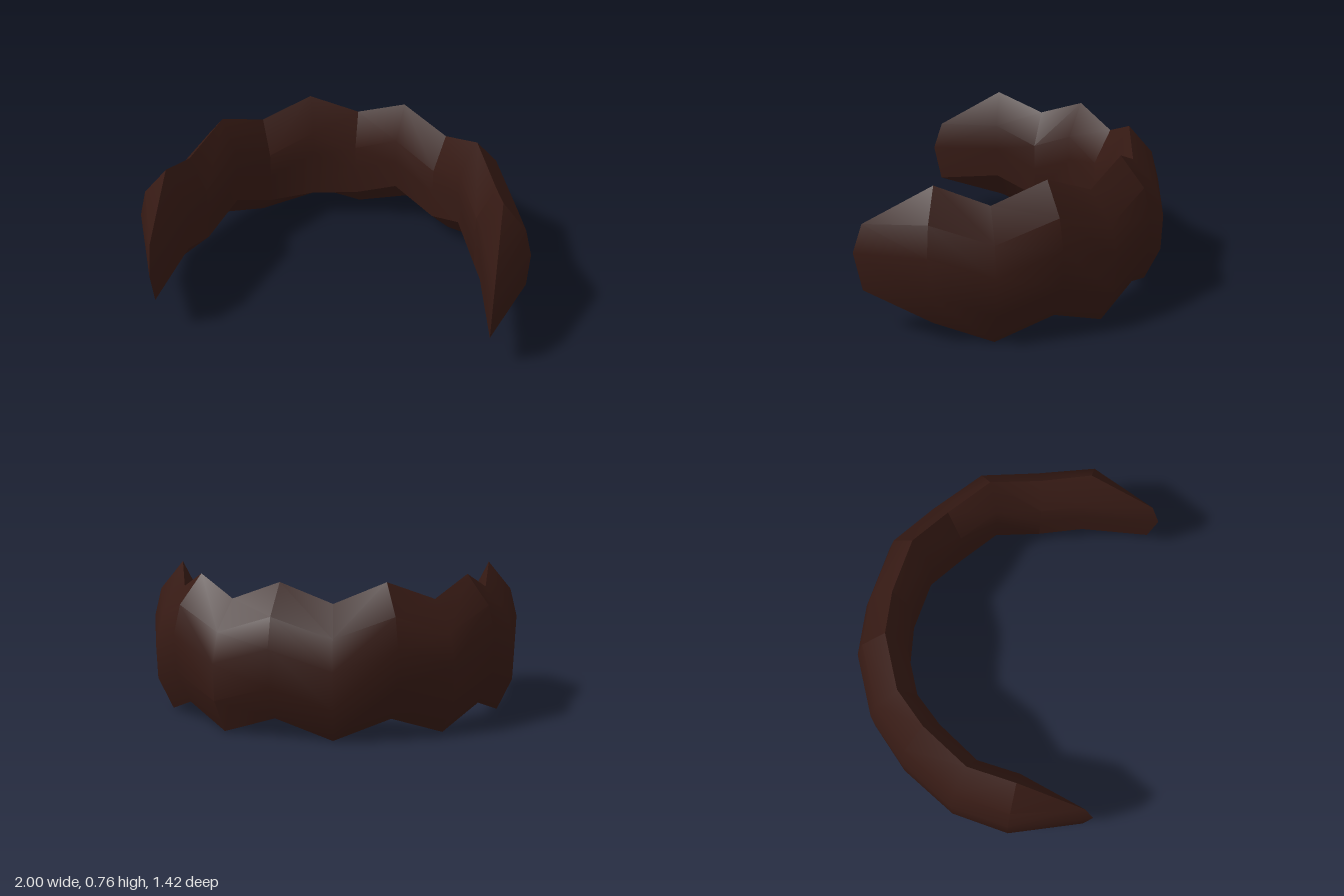
import * as THREE from 'three';
import { toCreasedNormals } from 'three/addons/utils/BufferGeometryUtils.js';

// Half of the horseshoe, from the middle of the back to the last full section:
// outer x, outer z, inner x, inner z
const STATIONS = [
  [0, -0.71, 0, -0.45],
  [0.31, -0.66, 0.23, -0.41],
  [0.59, -0.52, 0.45, -0.30],
  [0.81, -0.29, 0.60, -0.14],
  [0.95, 0.0, 0.71, 0.08],
  [1.0, 0.31, 0.75, 0.31],
];

// Cross-section: fraction from outer to inner wall, height, and pointed tip (height, z)
const SECTION = [
  [0.64, 0.66, 0.55, 0.66], // top ridge
  [0.15, 0.51, 0.55, 0.66],
  [0.0, 0.36, 0.40, 0.71],
  [0.03, 0.17, 0.21, 0.67],
  [0.34, 0.0, 0.21, 0.67], // bottom ridge
  [0.96, 0.17, 0.21, 0.67],
  [1.0, 0.34, 0.40, 0.71],
  [1.0, 0.48, 0.55, 0.66],
];

// One ring of points; every other ring is raised to make the zigzag edges
function ring(k) {
  const side = Math.sign(k);
  const s = Math.abs(k);
  if (s === STATIONS.length) {
    return SECTION.map(([, , y, z]) => new THREE.Vector3(side * 0.84, y, z));
  }
  const [ox, oz, ix, iz] = STATIONS[s];
  const lift = s % 2 ? 0.1 : 0;
  return SECTION.map(([f, y], j) => {
    // the lower inner edge stays level at one station on the right
    const rise = k === -1 && j === 5 ? 0 : lift;
    return new THREE.Vector3(side * (ox + (ix - ox) * f), y + rise, oz + (iz - oz) * f);
  });
}

function bandGeometry() {
  const n = STATIONS.length;
  const m = SECTION.length;
  const rings = [];
  for (let k = -n; k <= n; k++) rings.push(ring(k));

  const positions = [];
  const triangle = new THREE.Triangle();
  const addFace = (a, b, c) => {
    triangle.set(a, b, c);
    if (triangle.getArea() < 1e-6) return; // collapsed at the tips
    for (const p of [a, b, c]) positions.push(p.x, p.y, p.z);
  };
  for (let k = 0; k < rings.length - 1; k++) {
    for (let j = 0; j < m; j++) {
      const next = (j + 1) % m;
      const a = rings[k][j], b = rings[k + 1][j];
      const c = rings[k + 1][next], d = rings[k][next];
      // mirrored diagonals on the two halves
      if (k < n) {
        addFace(a, b, c);
        addFace(a, c, d);
      } else {
        addFace(a, b, d);
        addFace(b, c, d);
      }
    }
  }
  const geometry = new THREE.BufferGeometry();
  geometry.setAttribute('position', new THREE.Float32BufferAttribute(positions, 3));
  return toCreasedNormals(geometry, 0.62);
}

export function createModel() {
  const group = new THREE.Group();
  group.name = 'curvedBand';
  const band = new THREE.Mesh(bandGeometry(), new THREE.MeshStandardMaterial({ color: 0x361a14 }));
  band.name = 'zigzagBand';
  group.add(band);
  return group;
}
